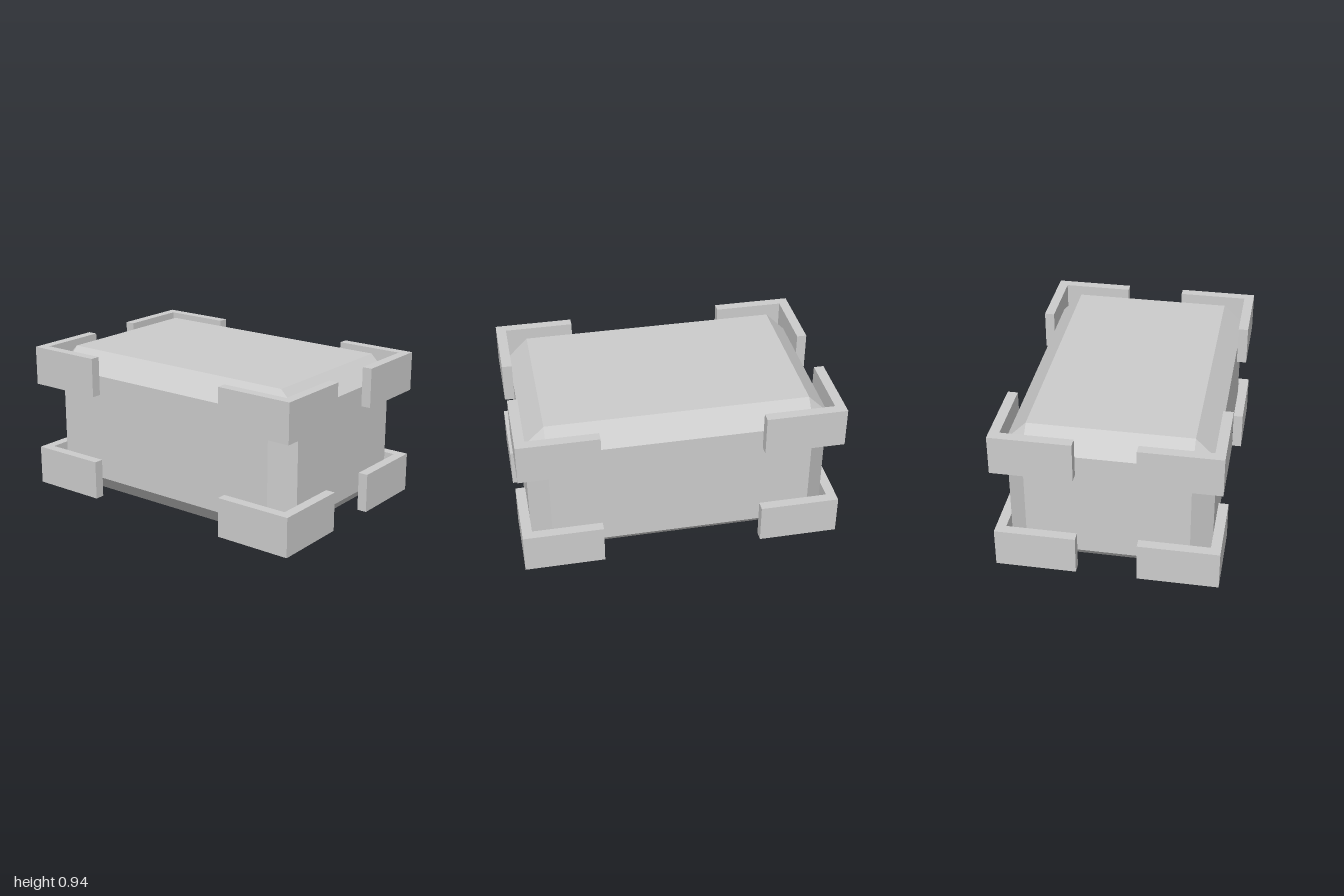
import * as THREE from 'three';
import { ConvexGeometry } from 'three/addons/geometries/ConvexGeometry.js';

const HALF_X = 1, HALF_Z = 0.6875, HEIGHT = 0.9375;
const WALL = 0.0625, ARM = 0.5, BRACKET_HEIGHT = 0.25, CHAMFER = 0.125;

// Box with every edge cut at 45 degrees, standing on y = 0
function chamferedBox(hx, hy, hz, c) {
  const points = [];
  for (const sx of [-1, 1]) for (const sy of [-1, 1]) for (const sz of [-1, 1]) {
    points.push(
      new THREE.Vector3(sx * hx, sy * (hy - c), sz * (hz - c)),
      new THREE.Vector3(sx * (hx - c), sy * hy, sz * (hz - c)),
      new THREE.Vector3(sx * (hx - c), sy * (hy - c), sz * hz)
    );
  }
  return new ConvexGeometry(points).translate(0, hy, 0);
}

// L-shaped corner guard, open above and below
function cornerBracket(sx, sz) {
  const outline = [
    [HALF_X, HALF_Z],
    [HALF_X - ARM, HALF_Z],
    [HALF_X - ARM, HALF_Z - WALL],
    [HALF_X - WALL, HALF_Z - WALL],
    [HALF_X - WALL, HALF_Z - ARM],
    [HALF_X, HALF_Z - ARM]
  ].map(([x, z]) => new THREE.Vector2(sx * x, -sz * z));
  return new THREE.ExtrudeGeometry(new THREE.Shape(outline), {
    depth: BRACKET_HEIGHT, bevelEnabled: false
  }).rotateX(-Math.PI / 2);
}

export function createModel() {
  const model = new THREE.Group();
  model.name = 'crate';
  const grey = new THREE.MeshStandardMaterial({ color: 0xcccccc });
  grey.name = 'light grey';

  // Crate body
  const body = new THREE.Mesh(
    chamferedBox(HALF_X - WALL, HEIGHT / 2, HALF_Z - WALL, CHAMFER), grey);
  body.name = 'body';
  model.add(body);

  // Eight corner brackets
  for (const sx of [-1, 1]) for (const sz of [-1, 1]) {
    const geometry = cornerBracket(sx, sz);
    for (const [level, y] of [['lower', 0], ['upper', HEIGHT - BRACKET_HEIGHT]]) {
      const bracket = new THREE.Mesh(geometry, grey);
      bracket.name = `${level}${sz > 0 ? 'Front' : 'Back'}${sx > 0 ? 'Left' : 'Right'}Bracket`;
      bracket.position.y = y;
      model.add(bracket);
    }
  }
  return model;
}
